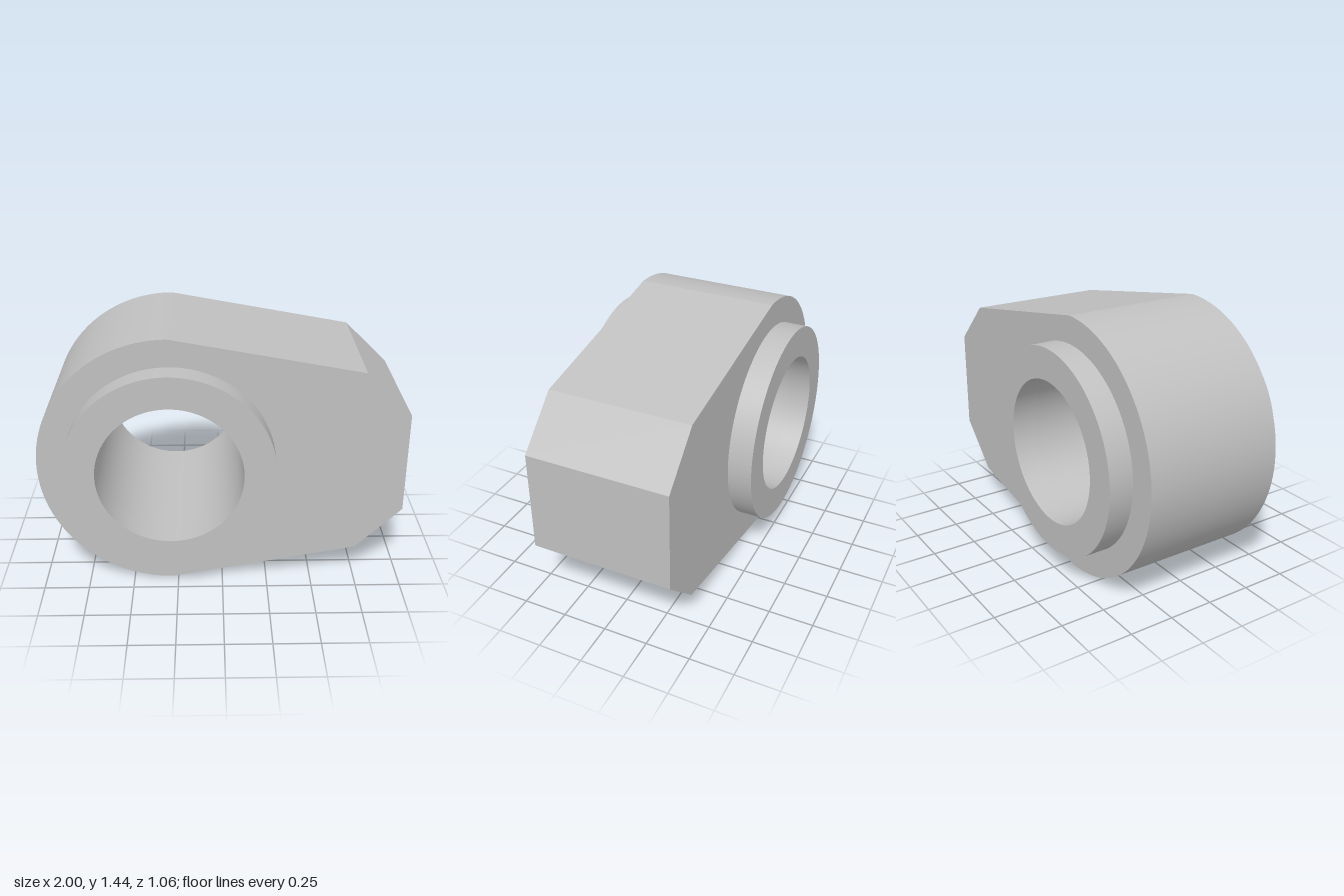
import * as THREE from 'three';
import { toCreasedNormals } from 'three/addons/utils/BufferGeometryUtils.js';

const CX = -0.28, CY = 0.72;          // bore axis
const BORE = 0.395, COLLAR = 0.57, BODY = 0.72;
const BODY_Z = 0.395, COLLAR_Z = 0.53; // half depths

const steel = new THREE.MeshStandardMaterial({ color: 0xc0c0c0 });
steel.name = 'light grey';

// Extrude a shape with the bore cut out, between two z planes
function boredPart(name, shape, z0, z1) {
  const hole = new THREE.Path();
  hole.absarc(CX, CY, BORE, 0, Math.PI * 2, true);
  shape.holes.push(hole);
  const geo = new THREE.ExtrudeGeometry(shape, { depth: z1 - z0, bevelEnabled: false, curveSegments: 64 });
  geo.translate(0, 0, z0);
  const mesh = new THREE.Mesh(toCreasedNormals(geo, 0.15), steel);
  mesh.name = name;
  return mesh;
}

export function createModel() {
  const group = new THREE.Group();
  group.name = 'bushingBlock';

  // Body: half-round end tapering to a chamfered nose
  const body = new THREE.Shape();
  body.moveTo(CX, 0);
  body.lineTo(0.75, 0.19);
  body.lineTo(1, 0.435);
  body.lineTo(1, 1.005);
  body.lineTo(0.75, 1.25);
  body.lineTo(CX, 2 * CY);
  body.absarc(CX, CY, BODY, Math.PI / 2, Math.PI * 1.5, false);
  group.add(boredPart('body', body, -BODY_Z, BODY_Z));

  // Raised collars around the bore on both faces
  for (const [name, z0, z1] of [['frontCollar', BODY_Z, COLLAR_Z], ['backCollar', -COLLAR_Z, -BODY_Z]]) {
    const ring = new THREE.Shape();
    ring.absarc(CX, CY, COLLAR, 0, Math.PI * 2, false);
    group.add(boredPart(name, ring, z0, z1));
  }
  return group;
}
